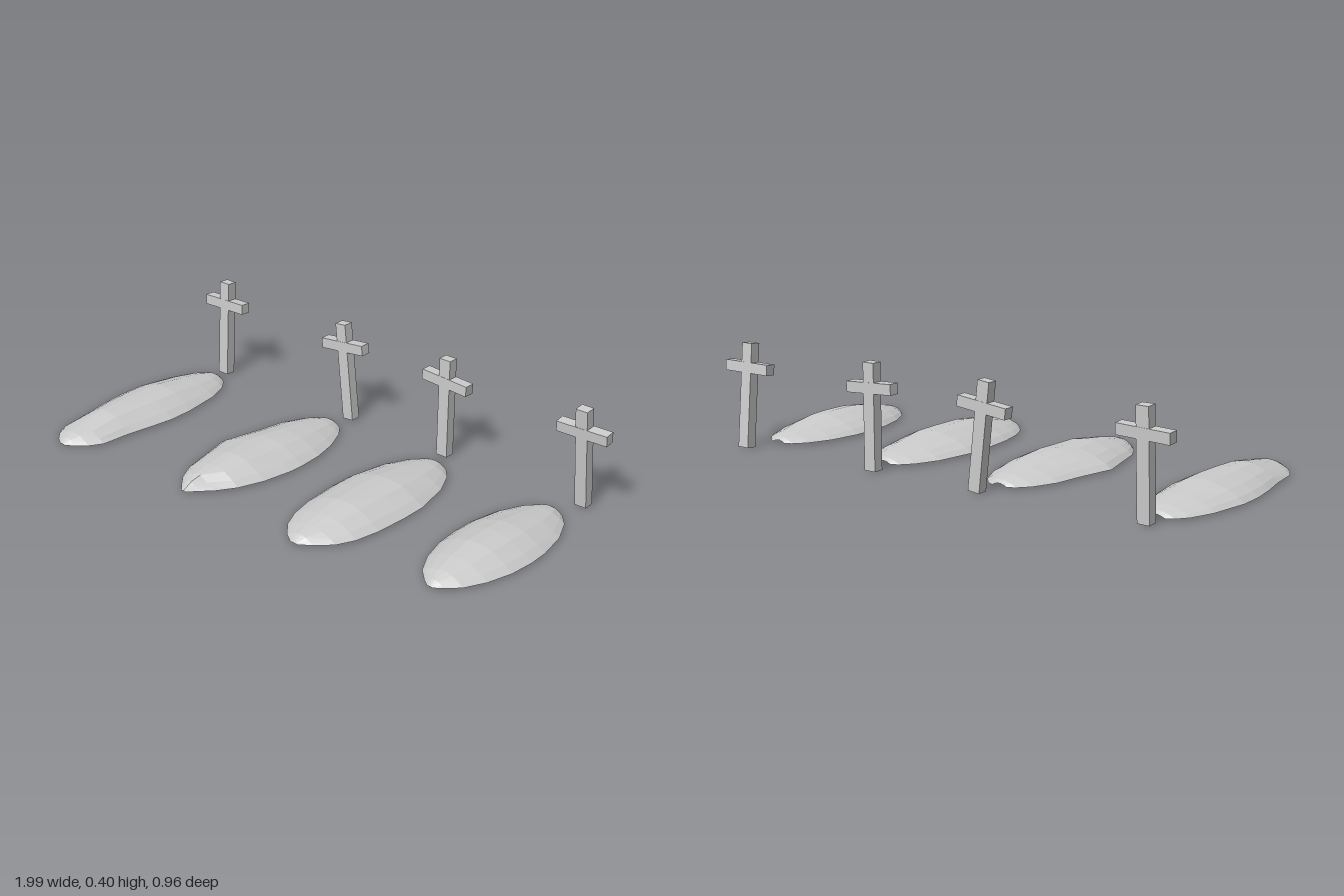
import * as THREE from 'three';

const earth = new THREE.MeshStandardMaterial({ color: 0xcccccc, flatShading: true, side: THREE.DoubleSide });
const wood = new THREE.MeshStandardMaterial({ color: 0xcccccc, flatShading: true });

// Cross-section of a mound: [position across -1..1, share of the crest height]
const SECTION = [[-1, 0], [-0.85, 0.3], [-0.6, 0.62], [-0.2, 0.95], [0.1, 1], [0.45, 0.85], [0.8, 0.38], [1, 0]];
const BASE = 0.008;

// Open shell lofted through rows of [z, left edge x, right edge x, crest y]
function mound(name, rows, dent) {
  const pos = [], index = [], n = SECTION.length;
  for (const [z, x0, x1, top] of rows) {
    for (const [t, s] of SECTION) {
      const x = (x0 + x1) / 2 + (t * (x1 - x0)) / 2;
      let y = BASE + s * (top - BASE);
      if (dent && Math.hypot(x - dent[0], z - dent[1]) < dent[2]) y = BASE + (y - BASE) * 0.55;
      pos.push(x, y, z);
    }
  }
  for (let r = 0; r < rows.length - 1; r++) {
    for (let c = 0; c < n - 1; c++) {
      const a = r * n + c, b = a + n;
      index.push(a, b, a + 1, a + 1, b, b + 1);
    }
  }
  const geo = new THREE.BufferGeometry();
  geo.setAttribute('position', new THREE.Float32BufferAttribute(pos, 3));
  geo.setIndex(index);
  geo.computeVertexNormals();
  const mesh = new THREE.Mesh(geo, earth);
  mesh.name = name;
  return mesh;
}

// Wooden cross standing on (x, z); pitch and roll lean it, armRoll and armYaw set the crossbar askew
function cross(name, x, z, { pitch = 0, roll = 0, armRoll = 0, armYaw = 0 }) {
  const g = new THREE.Group();
  g.name = name;
  const post = new THREE.Mesh(new THREE.BoxGeometry(0.048, 0.394, 0.04), wood);
  post.name = 'post';
  post.position.y = 0.197;
  const arm = new THREE.Mesh(new THREE.BoxGeometry(0.203, 0.04, 0.042), wood);
  arm.name = 'crossbar';
  arm.position.y = 0.302;
  arm.rotation.set(0, armYaw, armRoll);
  g.add(post, arm);
  g.position.set(x, 0.005, z);
  g.rotation.set(pitch, 0, roll);
  return g;
}

export function createModel() {
  const model = new THREE.Group();
  model.name = 'graves';

  // Earth mounds, from the right side to the left
  model.add(
    mound('moundLong', [
      [-0.35, -0.87, -0.81, 0.018], [-0.335, -0.9, -0.78, 0.028], [-0.29, -0.935, -0.745, 0.038],
      [-0.2, -0.97, -0.71, 0.051], [-0.05, -0.998, -0.688, 0.069], [0.05, -0.998, -0.686, 0.07],
      [0.15, -0.985, -0.7, 0.07], [0.25, -0.965, -0.718, 0.068], [0.37, -0.952, -0.728, 0.047],
      [0.42, -0.925, -0.758, 0.04], [0.455, -0.89, -0.795, 0.028], [0.477, -0.855, -0.83, 0.01]]),
    mound('moundDented', [
      [-0.35, -0.24, -0.18, 0.018], [-0.335, -0.27, -0.15, 0.028], [-0.29, -0.31, -0.115, 0.038],
      [-0.2, -0.35, -0.075, 0.051], [-0.1, -0.367, -0.052, 0.063], [0, -0.39, -0.045, 0.07],
      [0.06, -0.405, -0.047, 0.07], [0.18, -0.376, -0.068, 0.07], [0.28, -0.353, -0.105, 0.058],
      [0.35, -0.318, -0.15, 0.046], [0.39, -0.283, -0.188, 0.034], [0.43, -0.245, -0.225, 0.01]],
      [-0.195, 0.365, 0.032]),
    mound('moundWide', [
      [-0.35, 0.28, 0.34, 0.018], [-0.335, 0.25, 0.37, 0.028], [-0.29, 0.21, 0.41, 0.038],
      [-0.2, 0.168, 0.452, 0.051], [-0.05, 0.14, 0.484, 0.069], [0.05, 0.14, 0.485, 0.07],
      [0.18, 0.15, 0.477, 0.069], [0.28, 0.172, 0.458, 0.056], [0.35, 0.204, 0.425, 0.042],
      [0.405, 0.25, 0.37, 0.03], [0.436, 0.295, 0.325, 0.01]]),
    mound('moundShort', [
      [-0.35, 0.8, 0.86, 0.018], [-0.335, 0.775, 0.885, 0.028], [-0.29, 0.735, 0.925, 0.038],
      [-0.2, 0.694, 0.966, 0.051], [-0.08, 0.671, 0.989, 0.067], [0, 0.669, 0.992, 0.07],
      [0.1, 0.677, 0.983, 0.069], [0.2, 0.704, 0.955, 0.056], [0.28, 0.745, 0.915, 0.041],
      [0.325, 0.79, 0.87, 0.026], [0.347, 0.82, 0.84, 0.01]])
  );

  // Crosses at the head of each mound, each leaning its own way
  model.add(
    cross('crossLeaningBack', -0.845, -0.418, { pitch: -0.05, armRoll: 0.03 }),
    cross('crossLeaningSideways', -0.178, -0.435, { roll: 0.11 }),
    cross('crossUpright', 0.285, -0.435, { armRoll: -0.06 }),
    cross('crossLeaningForward', 0.89, -0.459, { pitch: 0.1, armYaw: 0.04 })
  );
  return model;
}
